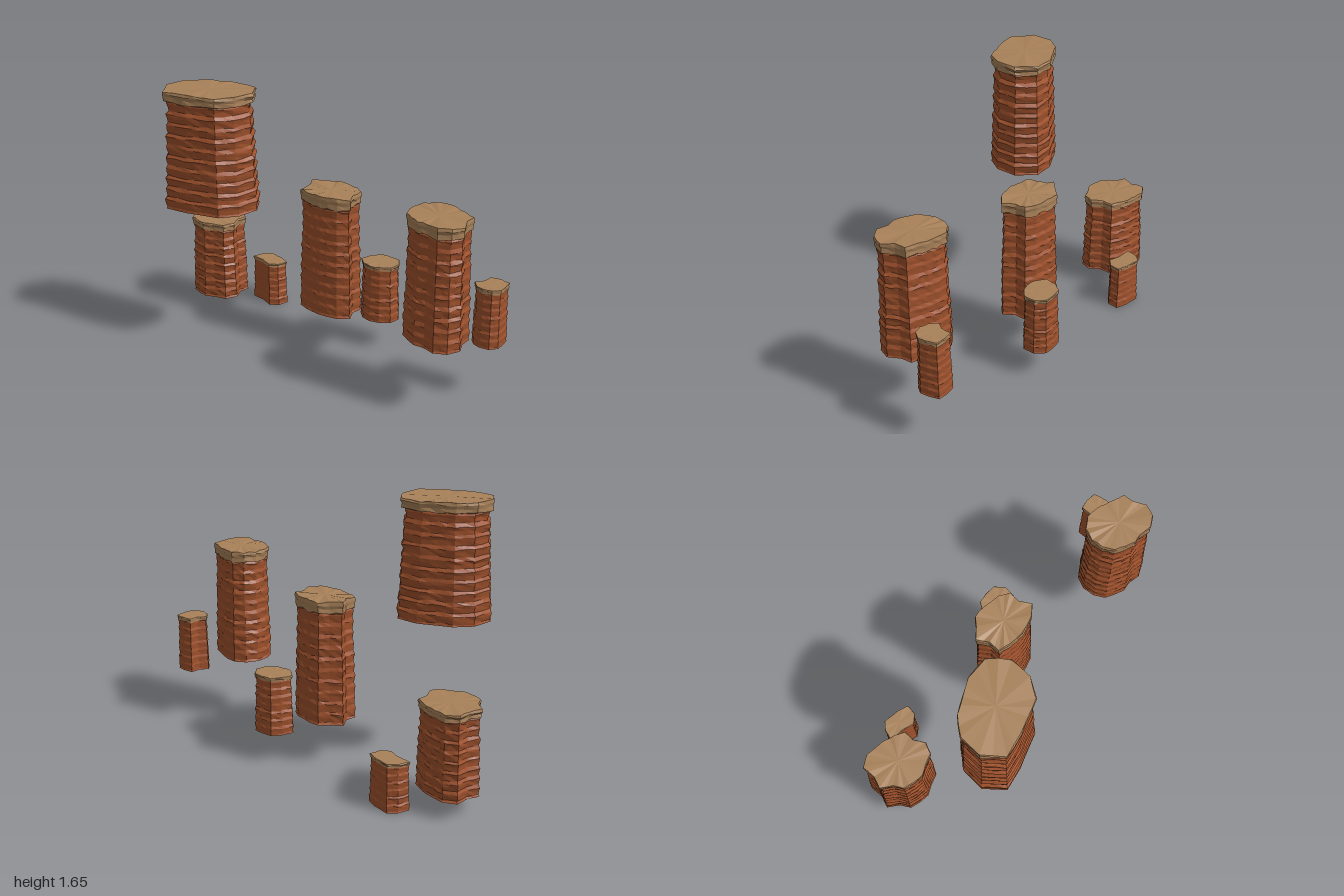
import * as THREE from 'three';

const rock = new THREE.MeshStandardMaterial({ color: 0xa0522d, flatShading: true });
rock.name = 'red sandstone';
const capRock = new THREE.MeshStandardMaterial({ color: 0xa88159, flatShading: true });
capRock.name = 'tan cap rock';

// small seeded noise, -1 to 1
let seed = 7;
function noise() {
  seed = (seed * 16807) % 2147483647;
  return (seed / 2147483647) * 2 - 1;
}

// closed solid through a stack of rings, with fan ends
function loft(rings) {
  const pos = [];
  const tri = (...points) => points.forEach((p) => pos.push(p.x, p.y, p.z));
  const middle = (ring) => ring.reduce((sum, p) => sum.add(p), new THREE.Vector3()).divideScalar(ring.length);
  const n = rings[0].length;
  const last = rings[rings.length - 1];
  const low = middle(rings[0]);
  const high = middle(last);
  for (let j = 0; j < n; j++) {
    const k = (j + 1) % n;
    for (let i = 0; i + 1 < rings.length; i++) {
      const [a, b, c, d] = [rings[i][j], rings[i][k], rings[i + 1][k], rings[i + 1][j]];
      tri(a, d, c);
      tri(a, c, b);
    }
    tri(low, rings[0][j], rings[0][k]);
    tri(high, last[k], last[j]);
  }
  const geo = new THREE.BufferGeometry();
  geo.setAttribute('position', new THREE.Float32BufferAttribute(pos, 3));
  geo.computeVertexNormals();
  return geo;
}

// radii are spaced evenly around the centre, from +x towards +z
function makePillar(name, x, z, base, capBase, top, radii, taper = 0.1) {
  // footprint corners, with a midpoint on each side for extra roughness
  const corners = radii.map((r, i) => {
    const angle = (i / radii.length) * Math.PI * 2;
    return new THREE.Vector2(r * Math.cos(angle), r * Math.sin(angle));
  });
  const points = corners.flatMap((p, i) => [p, p.clone().lerp(corners[(i + 1) % corners.length], 0.5)]);

  const ring = (y, scale, rough, yRough) => points.map((p) => {
    const s = scale + noise() * rough;
    return new THREE.Vector3(x + p.x * s, y + noise() * yRough, z + p.y * s);
  });

  // strata: each layer swells and ends in a narrow ledge
  const height = capBase - base;
  const layers = Math.round(4 + height * 9);
  const step = height / layers;
  const wall = [ring(base, 1, 0, 0)];
  for (let i = 0; i < layers; i++) {
    const s = 0.99 - (taper * (i + 0.5)) / layers + noise() * 0.012;
    const y = base + i * step;
    wall.push(ring(y + step * 0.2, s - 0.012, 0.012, step * 0.06));
    wall.push(ring(y + step * 0.6, s + 0.005, 0.014, step * 0.1));
    wall.push(ring(y + step * 0.9, s + 0.022, 0.012, step * 0.06));
  }
  wall.push(ring(capBase + 0.01, 0.98 - taper, 0, 0));

  // overhanging cap slab with a worn edge
  const t = top - capBase;
  const slab = [
    ring(capBase, 0.92 - taper * 0.5, 0.01, t * 0.06),
    ring(capBase + t * 0.08, 0.965, 0.014, t * 0.1),
    ring(capBase + t * 0.45, 0.955, 0.014, t * 0.1),
    ring(capBase + t * 0.75, 0.985, 0.012, t * 0.08),
    ring(top, 0.965, 0.012, t * 0.08),
  ];

  const group = new THREE.Group();
  group.name = name;
  const body = new THREE.Mesh(loft(wall), rock);
  body.name = 'layeredWall';
  const cap = new THREE.Mesh(loft(slab), capRock);
  cap.name = 'capSlab';
  group.add(body, cap);
  return group;
}

export function createModel() {
  const model = new THREE.Group();
  model.name = 'rockPillars';

  // broad mesa
  model.add(makePillar('greatMesa', -0.63, -0.19, 0.93, 1.585, 1.65,
    [.28, .28, .25, .22, .18, .20, .28, .28, .25, .21, .185, .22], 0.12));

  // tall fluted towers
  model.add(makePillar('middleTower', 0.05, 0, 0.27, 0.965, 1.04,
    [.17, .19, .16, .205, .17, .14, .13, .13, .15, .19, .16, .21, .175, .18, .16, .15]));
  model.add(makePillar('frontTower', 0.48, 0.79, 0.42, 1.085, 1.155,
    [.15, .185, .165, .206, .21, .193, .15, .162, .165, .19, .20, .21, .21, .197, .165, .148]));
  model.add(makePillar('backTower', -0.53, -0.77, 0.11, 0.58, 0.63,
    [.16, .185, .156, .198, .20, .168, .175, .17, .18, .162, .207, .18, .22, .20, .163, .156]));

  // short stubs
  model.add(makePillar('middleStub', 0.36, 0.02, 0.185, 0.53, 0.557,
    [.12, .125, .12, .10, .10, .11, .13, .11, .112, .10]));
  model.add(makePillar('frontStub', 0.8, 0.77, 0.34, 0.675, 0.705,
    [.11, .085, .09, .09, .086, .09, .10, .065, .104, .095]));
  model.add(makePillar('backStub', -0.2, -0.73, 0, 0.274, 0.297,
    [.08, .122, .11, .09, .055, .055, .13, .11, .10, .07]));
  return model;
}
